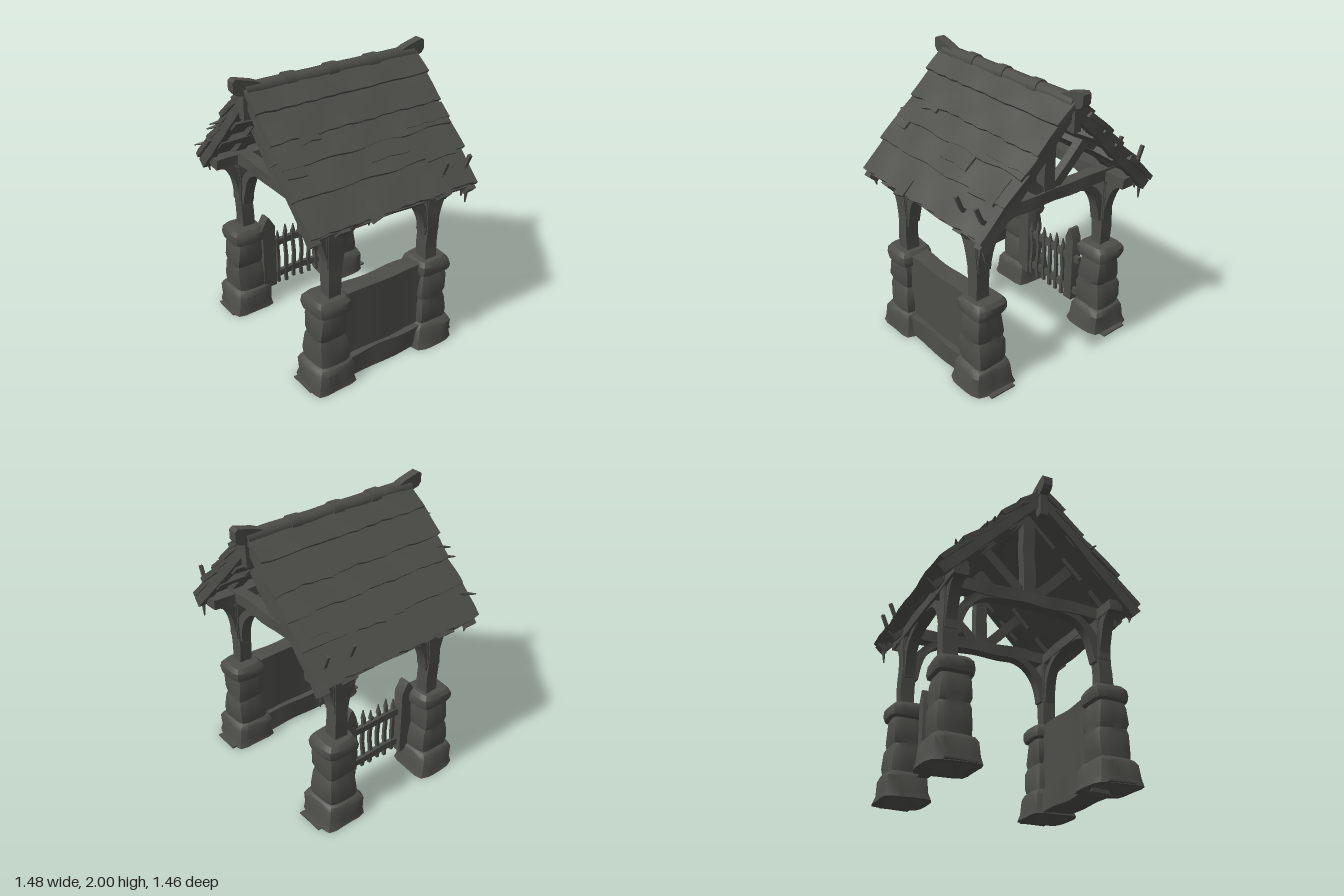
import * as THREE from 'three';
import { toCreasedNormals } from 'three/addons/utils/BufferGeometryUtils.js';

const weathered = new THREE.MeshStandardMaterial({ color: 0x4d4e49 });
weathered.name = 'weatheredGrey';

// Hand-hewn look: nudge each vertex by smooth waves of its position
function hew(geo, amp) {
  const p = geo.attributes.position;
  for (let i = 0; i < p.count; i++) {
    const x = p.getX(i), y = p.getY(i), z = p.getZ(i);
    p.setXYZ(i,
      x + amp * Math.sin(y * 19 + z * 13 + 1),
      y + amp * Math.sin(x * 17 + z * 15 + 2),
      z + amp * Math.sin(x * 14 + y * 21 + 3));
  }
  return toCreasedNormals(geo, 0.7);
}

function add(group, name, geo) {
  const mesh = new THREE.Mesh(geo, weathered);
  mesh.name = name;
  group.add(mesh);
}

// Plank running from a to b in the xy plane, spanning z0..z1; jag roughens its b end
function plank(group, name, a, b, z0, z1, th, amp = 0.004, jag = 0) {
  const len = Math.hypot(b[0] - a[0], b[1] - a[1]), depth = z1 - z0;
  const seg = (v) => Math.max(1, Math.min(22, Math.round(v / 0.07)));
  const geo = new THREE.BoxGeometry(len, th, depth, seg(len), 1, seg(depth));
  const p = geo.attributes.position;
  for (let i = 0; jag && i < p.count; i++) {
    const k = p.getZ(i) * 17 + a[0] * 40 + a[1] * 9;
    if (p.getX(i) > len / 2 - 1e-4) p.setX(i, len / 2 + jag * (Math.sin(k) + Math.sin(k * 2.7)) * 0.5);
  }
  geo.rotateZ(Math.atan2(b[1] - a[1], b[0] - a[0]));
  geo.translate((a[0] + b[0]) / 2, (a[1] + b[1]) / 2, (z0 + z1) / 2);
  add(group, name, hew(geo, amp));
}

// Squared stone column from a profile of [half width, height], bulging sideways only
function pillar(group, x, z) {
  const profile = [[0.002, 0.1], [0.13, 0], [0.168, 0], [0.155, 0.05], [0.152, 0.14], [0.135, 0.17],
    [0.116, 0.18], [0.122, 0.23], [0.116, 0.34], [0.104, 0.375], [0.114, 0.41], [0.108, 0.52],
    [0.1, 0.555], [0.122, 0.568], [0.13, 0.6], [0.124, 0.64], [0.1, 0.668], [0.002, 0.675]];
  const geo = new THREE.LatheGeometry(profile.map(([r, y]) => new THREE.Vector2(r, y)), 24);
  const p = geo.attributes.position;
  for (let i = 0; i < p.count; i++) {
    const px = p.getX(i), y = p.getY(i), pz = p.getZ(i), r = Math.hypot(px, pz);
    const k = Math.pow(Math.abs(px / r) ** 6 + Math.abs(pz / r) ** 6, -1 / 6);
    const wx = px * k + x, wz = pz * k + z;
    p.setX(i, wx + 0.007 * Math.sin(y * 16 + wz * 12));
    p.setZ(i, wz + 0.007 * Math.sin(y * 18 + wx * 11));
  }
  add(group, 'stonePillar', toCreasedNormals(geo, 0.6));
}

// Curved knee brace: band rising from the post by h while reaching out by w
function brace(group, pos, angle, w, h, depth) {
  const s = new THREE.Shape();
  s.moveTo(0, 0);
  s.quadraticCurveTo(0.03, h, w, h);
  s.lineTo(w - 0.1, h + 0.03);
  s.quadraticCurveTo(-0.02, h * 0.88, -0.06, 0.09);
  s.lineTo(-0.06, 0);
  const geo = new THREE.ExtrudeGeometry(s, { depth, bevelEnabled: false, curveSegments: 10 });
  geo.translate(0, 0, -depth / 2).rotateY(angle).translate(...pos);
  add(group, 'curvedBrace', hew(geo, 0.003));
}

// Outline of [z, y] points extruded across x
function sideways(group, name, points, x, width) {
  const shape = new THREE.Shape(points.map(([z, y]) => new THREE.Vector2(-z, y)));
  const geo = new THREE.ExtrudeGeometry(shape, { depth: width, bevelEnabled: false });
  geo.translate(0, 0, -width / 2).rotateY(Math.PI / 2).translate(x, 0, 0);
  add(group, name, toCreasedNormals(geo, 0.6));
}

// Thin pointed stick between two points
function stick(group, name, a, b, r) {
  const dir = new THREE.Vector3(...b).sub(new THREE.Vector3(...a)), len = dir.length();
  const geo = new THREE.CylinderGeometry(r * 0.25, r, len, 5, 1);
  geo.translate(0, len / 2, 0);
  geo.applyQuaternion(new THREE.Quaternion().setFromUnitVectors(new THREE.Vector3(0, 1, 0), dir.normalize()));
  geo.translate(...a);
  add(group, name, toCreasedNormals(geo, 0.6));
}

export function createModel() {
  const model = new THREE.Group();
  model.name = 'roofedGateway';
  const section = (name) => {
    const g = new THREE.Group();
    g.name = name;
    model.add(g);
    return g;
  };
  const stone = section('stonework'), frame = section('timberFrame');
  const roof = section('roof'), gate = section('gate');

  // Pillars, posts and knee braces at the four corners
  for (const sx of [-1, 1]) for (const sz of [-1, 1]) {
    pillar(stone, sx * 0.532, sz < 0 ? -0.408 : 0.425);
    const x = sx * 0.545, z = sz * 0.395;
    plank(frame, 'post', [x, 0.64], [x, 1.2], z - 0.047, z + 0.047, 0.098, 0.003);
    plank(frame, 'postHead', [x, 0.88], [x, 1.23], z - 0.056, z + 0.056, 0.085, 0.003);
    brace(frame, [sx * 0.475, 0.86, z], sx > 0 ? Math.PI : 0, 0.27, 0.31, 0.075);
    brace(frame, [x, 0.86, sz * 0.335], sz * Math.PI / 2, 0.25, 0.3, 0.075);
    brace(frame, [x, 0.89, sz * 0.445], -sz * Math.PI / 2, 0.16, 0.28, 0.075);
    // Ragged sliver at the foot
    plank(stone, 'groundSliver', [sx * 0.42, 0.008], [sx * 0.62, 0.008], sz * 0.59 - 0.02, sz * 0.59 + 0.02, 0.01, 0.002, 0.03);
  }

  // Low side wall on its plinth
  plank(stone, 'wallPanel', [0.465, 0.328], [0.595, 0.328], -0.34, 0.34, 0.64, 0.004);
  plank(stone, 'wallPlinth', [0.425, 0.088], [0.632, 0.088], -0.32, 0.32, 0.16, 0.005);

  // Trusses: tie beam, king post, struts and rafters
  for (const z of [-0.4, 0.4]) {
    plank(frame, 'tieBeam', [-0.6, 1.215], [0.6, 1.215], z - 0.045, z + 0.045, 0.088);
    plank(frame, 'kingPost', [0, 1.24], [0, 1.86], z - 0.04, z + 0.04, 0.086, 0.003);
    for (const s of [-1, 1]) {
      plank(frame, 'strut', [s * 0.05, 1.25], [s * 0.31, 1.51], z - 0.03, z + 0.03, 0.07, 0.003);
      plank(frame, 'rafter', [s * 0.01, 1.87], [s * 0.68, 1.165], z - 0.04, z + 0.04, 0.08, 0.003);
    }
  }
  for (const s of [-1, 1]) {
    plank(frame, 'wallPlate', [s * 0.5, 1.205], [s * 0.6, 1.205], -0.61, 0.61, 0.075);
    for (const z of [-0.61, 0.61]) {
      plank(frame, 'bargeRafter', [s * 0.01, 1.87], [s * 0.69, 1.16], z - 0.03, z + 0.03, 0.075, 0.003);
    }
    for (const x of [0.22, 0.42]) {
      plank(frame, 'purlin', [s * (x - 0.03), 1.862 - x], [s * (x + 0.03), 1.8 - x], -0.62, 0.62, 0.05);
    }
  }

  // Rounded ridge with three humps, upturned ends and hanging wedges
  const roll = (name, r, z0, z1, y) => {
    const geo = new THREE.CylinderGeometry(r, r, z1 - z0, 12, 8);
    geo.rotateX(Math.PI / 2).translate(0, y, (z0 + z1) / 2);
    add(roof, name, hew(geo, 0.002));
  };
  roll('ridgeRoll', 0.05, -0.65, 0.645, 1.908);
  for (const z of [-0.3, 0.02, 0.33]) roll('ridgeHump', 0.056, z - 0.04, z + 0.04, 1.912);
  for (const s of [-1, 1]) {
    const outline = [[0.5, 1.93], [0.58, 1.965], [0.65, 1.985], [0.71, 2], [0.73, 1.985],
      [0.73, 1.925], [0.71, 1.9], [0.66, 1.885], [0.5, 1.88]];
    sideways(roof, 'ridgeEnd', outline.map(([z, y]) => [s * z, y]), 0, 0.064);
    plank(roof, 'ridgeWedge', [0, 1.94], [0, 1.73], s * 0.635 - 0.03, s * 0.635 + 0.03, 0.055, 0.002);
  }

  // Roof slopes: deck, overlapping courses and loose boards
  const at = (s, x, lift) => [s * (x + lift * 0.71), 1.945 - x * 1.03 + lift * 0.7];
  const courses = [[0, 0.145], [0.12, 0.29], [0.26, 0.405], [0.37, 0.54], [0.5, 0.705]];
  for (const s of [-1, 1]) {
    plank(roof, 'roofDeck', at(s, 0, -0.035), at(s, 0.71, -0.035), -0.64, 0.64, 0.04, 0.003);
    courses.forEach(([x0, x1], i) => {
      const w = 0.658 + 0.01 * Math.sin(i * 2.3 + s);
      plank(roof, 'roofCourse', at(s, x0, -0.012), at(s, x1, i < 4 ? 0.012 : 0.002),
        -w, w - 0.005, 0.034, 0.004, 0.008);
    });
    // each entry: top x, bottom x, z start, z end
    const loose = s > 0
      ? [[0.37, 0.48, -0.23, 0.05], [0.23, 0.32, 0.32, 0.46], [0.3, 0.38, -0.66, -0.3],
        [0.42, 0.55, -0.58, -0.34], [0.36, 0.45, 0.5, 0.64], [0.63, 0.72, 0.13, 0.22]]
      : [[0.46, 0.55, -0.32, 0.12], [0.4, 0.5, -0.58, -0.45]];
    for (const [x0, x1, z0, z1] of loose) {
      plank(roof, 'looseBoard', at(s, x0, 0.01), at(s, x1, 0.022), z0, z1, 0.02, 0.004, 0.012);
    }
    // Pegs on the eaves and splinters below them
    for (const z of [-0.58, -0.39]) {
      plank(roof, 'eavePeg', [s * 0.62, 1.3], [s * 0.665, 1.335], z - 0.011, z + 0.011, 0.03, 0.001);
      plank(roof, 'eavePeg', [s * 0.655, 1.325], [s * 0.695, 1.425], z - 0.011, z + 0.011, 0.024, 0.001);
    }
    for (const [z, drop] of [[-0.6, 0.13], [-0.56, 0.07], [-0.42, 0.05], [0.6, 0.08], [0.2, 0.04]]) {
      stick(roof, 'splinter', [s * 0.67, 1.2, z], [s * 0.655, 1.19 - drop, z - 0.01], 0.02);
    }
  }
  for (const [x, y, dx] of [[-0.58, 1.36, -0.05], [-0.39, 1.55, -0.03], [-0.34, 1.6, -0.03], [-0.17, 1.77, 0.01], [0.35, 1.58, 0.01]]) {
    stick(roof, 'straw', [x, y, 0.6], [x + dx, y - 0.02, 0.705], 0.017);
  }

  // Picket gate between two posts with wedge tops
  for (const [z, w] of [[0.28, 0.052], [-0.22, 0.038]]) {
    sideways(gate, 'gatePost', [[z - w, 0.14], [z + w, 0.14], [z + w, 0.655], [z + 0.008, 0.73],
      [z - 0.008, 0.725], [z - w, 0.65]], -0.448, 0.078);
  }
  for (const y of [0.22, 0.49]) {
    plank(gate, 'gateRail', [-0.455, y], [-0.425, y], -0.31, 0.33, 0.05, 0.004);
  }
  for (let i = 0; i < 6; i++) {
    const z = -0.14 + i * 0.068, top = 0.555 + 0.02 * Math.sin(i * 2.1);
    plank(gate, 'picket', [-0.428, 0.14 + 0.015 * Math.sin(i * 3)], [-0.428, top], z - 0.012, z + 0.012, 0.022, 0.004);
    stick(gate, 'picketTip', [-0.428, top - 0.01, z], [-0.426, top + 0.055, z], 0.019);
  }
  return model;
}
